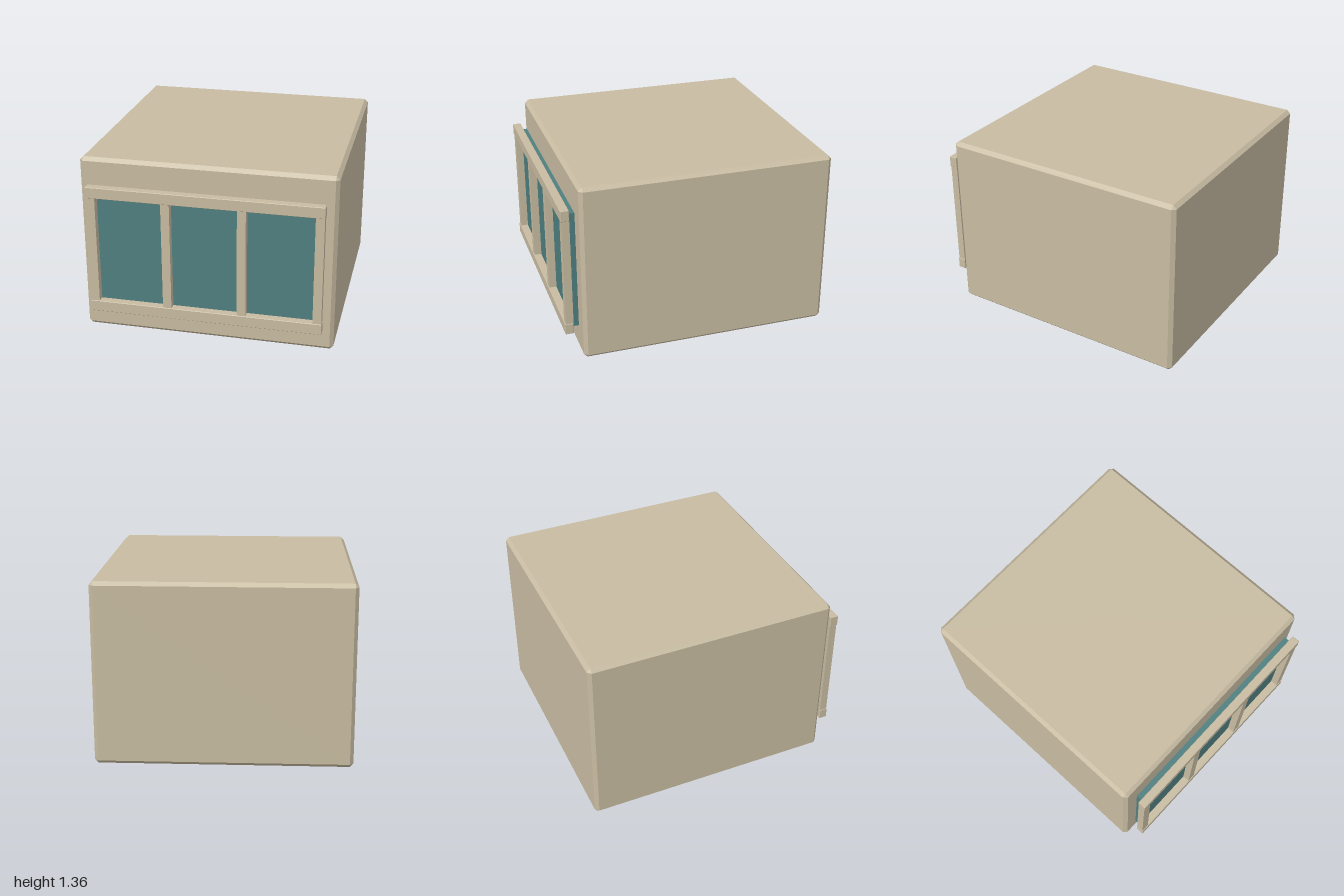
import * as THREE from 'three';
import { ConvexGeometry } from 'three/addons/geometries/ConvexGeometry.js';

// Box with flat chamfers on all edges and corners
function chamferedBox(w, h, d, c) {
  const points = [];
  for (const sx of [-1, 1]) for (const sy of [-1, 1]) for (const sz of [-1, 1]) {
    const x = w / 2, y = h / 2, z = d / 2;
    points.push(
      new THREE.Vector3(sx * x, sy * (y - c), sz * (z - c)),
      new THREE.Vector3(sx * (x - c), sy * y, sz * (z - c)),
      new THREE.Vector3(sx * (x - c), sy * (y - c), sz * z)
    );
  }
  return new ConvexGeometry(points);
}

export function createModel() {
  const model = new THREE.Group();
  model.name = 'windowedBlock';

  const wall = new THREE.MeshStandardMaterial({ color: 0xc8bca2 });
  wall.name = 'beige wall';
  const glass = new THREE.MeshStandardMaterial({ color: 0x4f7f80 });
  glass.name = 'teal glass';

  // Add a part spanning the given ranges, with an optional chamfer
  function addPart(parent, name, material, [x0, x1], [y0, y1], [z0, z1], chamfer = 0) {
    const w = x1 - x0, h = y1 - y0, d = z1 - z0;
    const geometry = chamfer ? chamferedBox(w, h, d, chamfer) : new THREE.BoxGeometry(w, h, d);
    const mesh = new THREE.Mesh(geometry, material);
    mesh.name = name;
    mesh.position.set((x0 + x1) / 2, (y0 + y1) / 2, (z0 + z1) / 2);
    parent.add(mesh);
  }

  // Main block
  addPart(model, 'body', wall, [-0.94, 0.94], [0, 1.357], [-1, 0.882], 0.027);

  // Window standing just clear of the front wall
  const frontWindow = new THREE.Group();
  frontWindow.name = 'window';
  model.add(frontWindow);
  addPart(frontWindow, 'glassPane', glass, [-0.832, 0.832], [0.228, 1.134], [0.893, 0.939]);

  // Top and bottom rails
  addPart(frontWindow, 'topRail', wall, [-0.865, 0.865], [1.092, 1.175], [0.938, 1], 0.003);
  addPart(frontWindow, 'bottomRail', wall, [-0.865, 0.865], [0.187, 0.27], [0.938, 1], 0.003);

  // Outer stiles and the two mullions
  const uprights = [[-0.83, 'rightStile'], [-0.277, 'rightMullion'], [0.277, 'leftMullion'], [0.83, 'leftStile']];
  for (const [x, name] of uprights) {
    addPart(frontWindow, name, wall, [x - 0.032, x + 0.032], [0.268, 1.094], [0.938, 0.994]);
  }

  return model;
}
